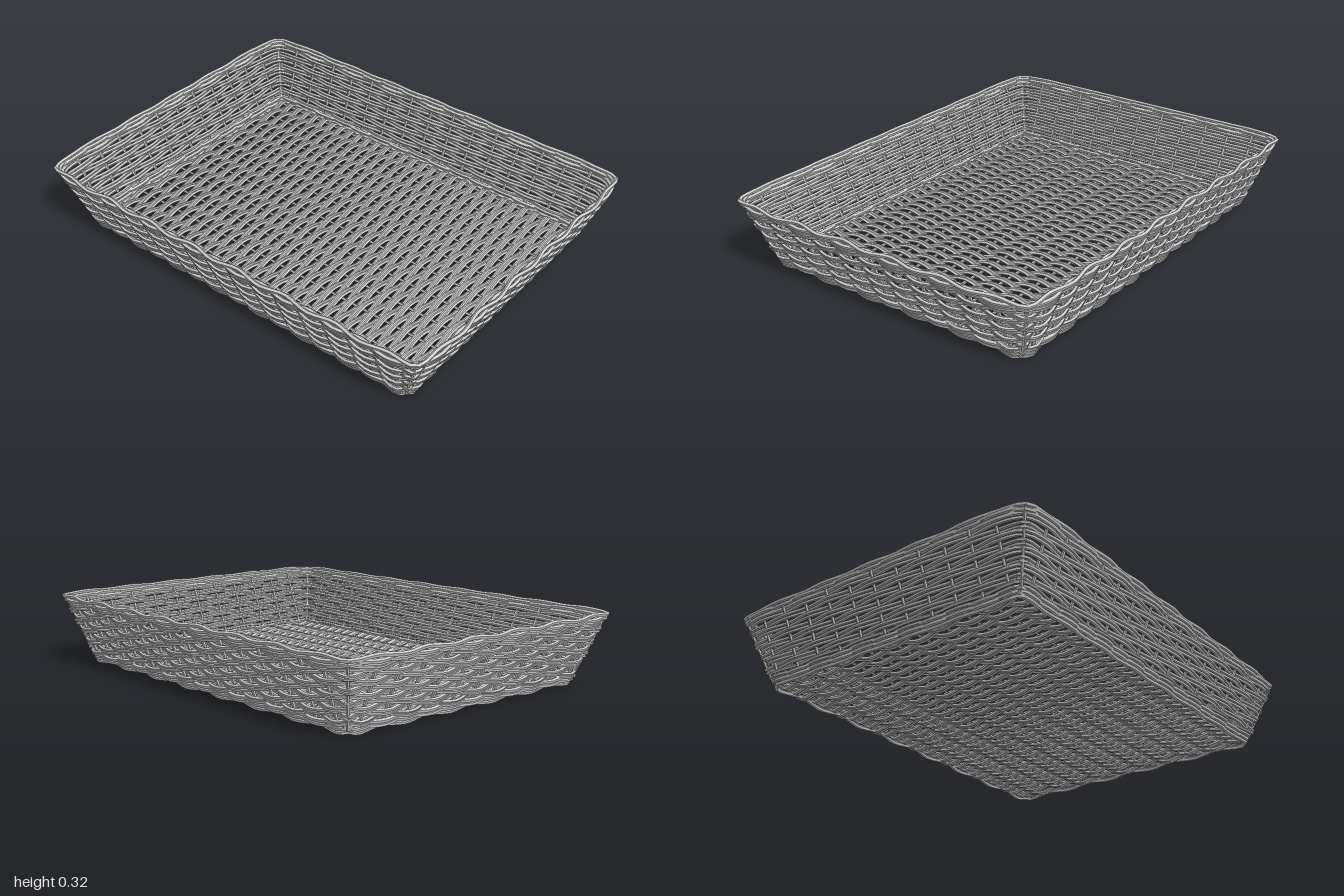
import * as THREE from 'three';

const TOP = 0.303, BOTTOM = 0.014;   // heights where the wall slope is measured
const PITCH = 0.12;                  // distance between stakes
const NX = 7, NZ = 5;                // stakes each side of the middle
const CANE = 0.0075;                 // radius of one thin cane
const lerp = THREE.MathUtils.lerp;
const material = new THREE.MeshStandardMaterial({ color: 0xcccccc, flatShading: true });

function tube(points, radius, segments, closed = false) {
  const curve = new THREE.CatmullRomCurve3(points, closed, 'catmullrom', 0.5);
  curve.arcLengthDivisions = segments * 3;
  return new THREE.TubeGeometry(curve, segments, radius, 5, closed);
}

function add(group, name, geometry) {
  const mesh = new THREE.Mesh(geometry, material);
  mesh.name = name;
  group.add(mesh);
  return mesh;
}

// Stake positions around the basket at height y, each with its outward direction
function stations(y) {
  const t = (y - BOTTOM) / (TOP - BOTTOM);
  const halfX = lerp(0.857, 0.981, t), halfZ = lerp(0.631, 0.744, t);
  const cornerX = lerp(0.852, 0.954, t), cornerZ = lerp(0.626, 0.722, t);
  const stepX = lerp(0.116, PITCH, t), stepZ = lerp(0.118, PITCH, t);
  const list = [];
  const put = (x, z, nx, nz) => list.push({ p: new THREE.Vector3(x, y, z), n: new THREE.Vector3(nx * 0.92, -0.39, nz * 0.92) });
  for (const s of [1, -1]) {
    for (let k = -NX; k <= NX; k++) put(s * k * stepX, s * halfZ, 0, s);
    put(s * cornerX, s * cornerZ, s * 0.4, s * 0.4);
    for (let k = NZ; k >= -NZ; k--) put(s * halfX, s * k * stepZ, s, 0);
    put(s * cornerX, -s * cornerZ, s * 0.4, -s * 0.4);
  }
  return list;
}

// A pair of canes running round the basket, alternately outside and inside the stakes
function addRing(group, name, y, phase, radius, amp) {
  for (const side of [-1, 1]) {
    const points = stations(y + side * radius * 0.9).map(({ p, n }, i) =>
      p.addScaledVector(n, (i + phase) % 2 ? -amp : amp));
    add(group, name, tube(points, radius, points.length * 4, true));
  }
}

export function createModel() {
  const basket = new THREE.Group();
  basket.name = 'wickerTray';

  // Woven walls
  const walls = new THREE.Group();
  walls.name = 'walls';
  const ROWS = 9;
  for (let i = 0; i < ROWS; i++) {
    addRing(walls, 'wallCane', lerp(0.056, 0.272, i / (ROWS - 1)), i % 2, CANE, 0.0125);
  }
  basket.add(walls);

  // Crossing pairs that bind the top and bottom edges
  const rims = new THREE.Group();
  rims.name = 'rims';
  for (const [name, y] of [['topRim', 0.295], ['bottomRim', 0.031]]) {
    addRing(rims, name, y + 0.006, 1, 0.009, 0.009);
    addRing(rims, name, y - 0.006, 0, 0.009, 0.009);
  }
  basket.add(rims);

  // Upright stakes inside the weave
  const stakes = new THREE.Group();
  stakes.name = 'stakes';
  const low = stations(0.028), high = stations(TOP);
  low.forEach(({ p }, i) => {
    const path = new THREE.LineCurve3(p, high[i].p);
    add(stakes, 'wallStake', new THREE.TubeGeometry(path, 1, 0.007, 5));
  });

  // Stakes lying lengthwise in the floor
  const floor = new THREE.Group();
  floor.name = 'floor';
  for (let k = -NZ; k <= NZ; k++) {
    const z = k * 0.122;
    const path = new THREE.LineCurve3(new THREE.Vector3(-0.855, 0.03, z), new THREE.Vector3(0.855, 0.03, z));
    add(floor, 'floorStake', new THREE.TubeGeometry(path, 1, 0.006, 5));
  }

  // Pairs of floor canes woven over and under those stakes
  const weaves = [0, 1].map((phase) => {
    const points = [new THREE.Vector3(0, 0.03, -0.635)];
    for (let k = -NZ; k <= NZ; k++) {
      points.push(new THREE.Vector3(0, 0.03 + ((k + NZ + phase) % 2 ? -0.0135 : 0.0135), k * 0.122));
    }
    points.push(new THREE.Vector3(0, 0.03, 0.635));
    return tube(points, CANE, 42);
  });
  for (let i = -30; i <= 30; i++) {
    for (const side of [-1, 1]) {
      add(floor, 'floorCane', weaves[Math.abs(i) % 2]).position.x = i * 0.0277 + side * 0.0069;
    }
  }

  basket.add(stakes, floor);
  return basket;
}
